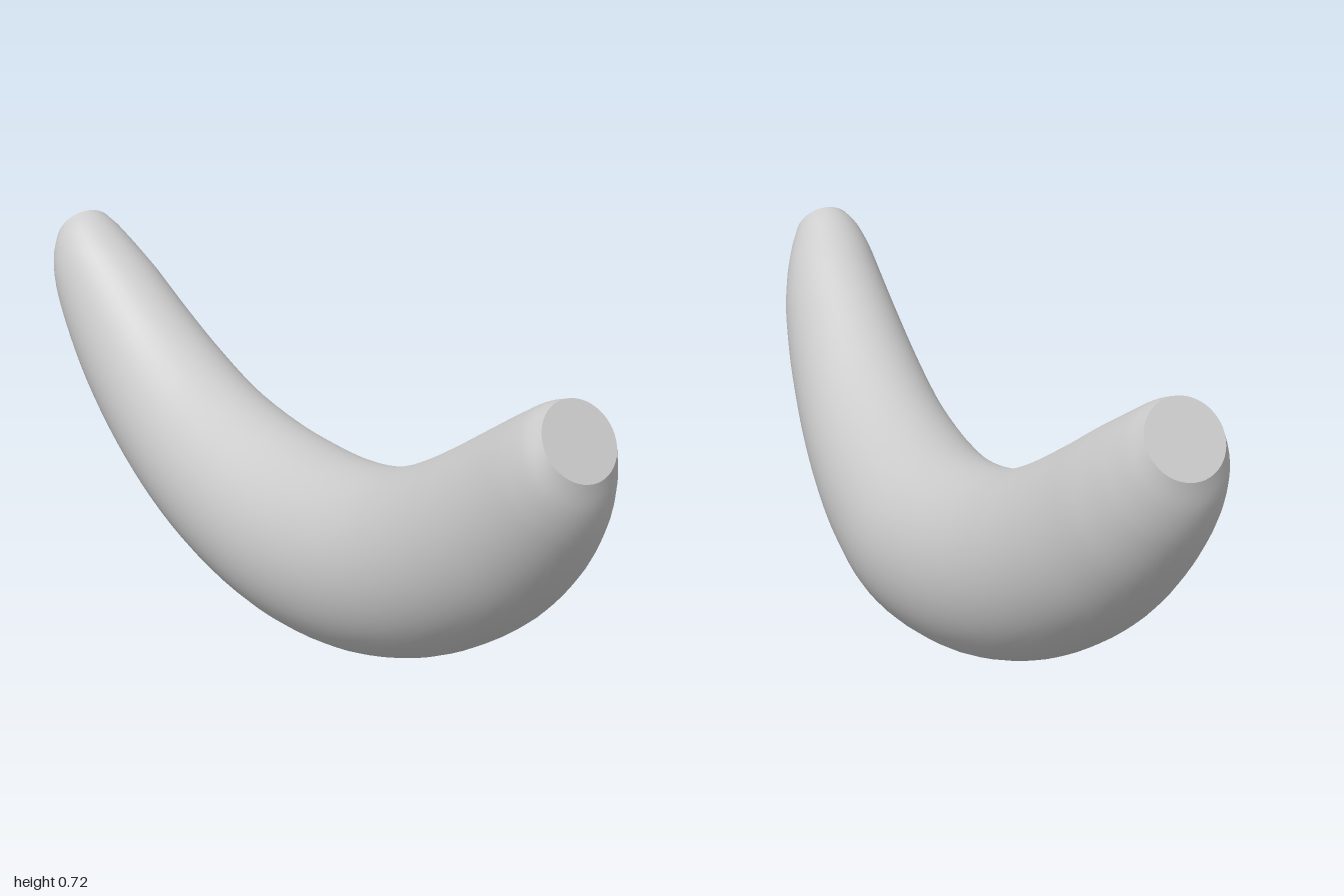
import * as THREE from 'three';

// Stations from the middle to one tip:
// [bottom z, bottom y, top z, top y, min x, max x]
const HALF = [
  [0, 0.003, 0, 0.388, -0.18, 0.178],
  [0.25, 0.03, 0.19, 0.403, -0.18, 0.164],
  [0.45, 0.09, 0.36, 0.44, -0.18, 0.145],
  [0.62, 0.17, 0.5, 0.497, -0.179, 0.125],
  [0.8, 0.29, 0.63, 0.566, -0.175, 0.1],
  [0.91, 0.4, 0.75, 0.635, -0.169, 0.076],
  [0.97, 0.49, 0.83, 0.68, -0.162, 0.05],
  [0.993, 0.55, 0.89, 0.712, -0.149, 0.027],
  [1.0, 0.605, 0.925, 0.724, -0.13, 0.008],
];
const SIDES = 48;
const STEPS = 64;

// Mirror the stations so that they run from the back tip to the front tip
const STATIONS = [
  ...HALF.slice(1).reverse().map(([bz, by, tz, ty, l, r]) => [-bz, by, -tz, ty, l, r]),
  ...HALF,
];

function geometryFrom(positions, index) {
  const g = new THREE.BufferGeometry();
  g.setAttribute('position', new THREE.Float32BufferAttribute(positions, 3));
  g.setIndex(index);
  g.computeVertexNormals();
  return g;
}

// One oval cross-section between the bottom and top points of a station
function ring(bottom, top, width) {
  const pts = [];
  const mid = bottom.clone().add(top).multiplyScalar(0.5);
  const up = top.clone().sub(mid);
  for (let i = 0; i < SIDES; i++) {
    const a = (i / SIDES) * Math.PI * 2;
    const p = mid.clone().addScaledVector(up, Math.sin(a));
    p.x = (width.x + width.y) / 2 + Math.cos(a) * (width.y - width.x) / 2;
    pts.push(p);
  }
  return pts;
}

export function createModel() {
  const group = new THREE.Group();
  group.name = 'curvedFruit';
  const skin = new THREE.MeshStandardMaterial({ color: 0xcccccc });
  skin.name = 'paleGrey';

  // Smooth curves through the stations
  const curve = (f) => new THREE.CatmullRomCurve3(STATIONS.map(f));
  const bottom = curve((s) => new THREE.Vector3(0, s[1], s[0]));
  const top = curve((s) => new THREE.Vector3(0, s[3], s[2]));
  const width = curve((s) => new THREE.Vector3(s[4], s[5], 0));
  const rings = [];
  for (let j = 0; j <= STEPS; j++) {
    const t = j / STEPS;
    rings.push(ring(bottom.getPoint(t), top.getPoint(t), width.getPoint(t)));
  }

  // Body skin
  const index = [];
  for (let j = 0; j < STEPS; j++) {
    for (let i = 0; i < SIDES; i++) {
      const n = (i + 1) % SIDES;
      const a = j * SIDES + i, b = j * SIDES + n;
      index.push(a, b, a + SIDES, b, b + SIDES, a + SIDES);
    }
  }
  const body = new THREE.Mesh(geometryFrom(rings.flat().flatMap((p) => p.toArray()), index), skin);
  body.name = 'body';
  group.add(body);

  // Flat cut ends with a sharp rim
  for (const [name, pts, front] of [['frontEnd', rings[STEPS], true], ['backEnd', rings[0], false]]) {
    const centre = new THREE.Vector3();
    pts.forEach((p) => centre.addScaledVector(p, 1 / SIDES));
    const fan = [];
    for (let i = 0; i < SIDES; i++) {
      const n = (i + 1) % SIDES;
      fan.push(SIDES, front ? i : n, front ? n : i);
    }
    const cap = new THREE.Mesh(geometryFrom([...pts, centre].flatMap((p) => p.toArray()), fan), skin);
    cap.name = name;
    group.add(cap);
  }
  return group;
}
